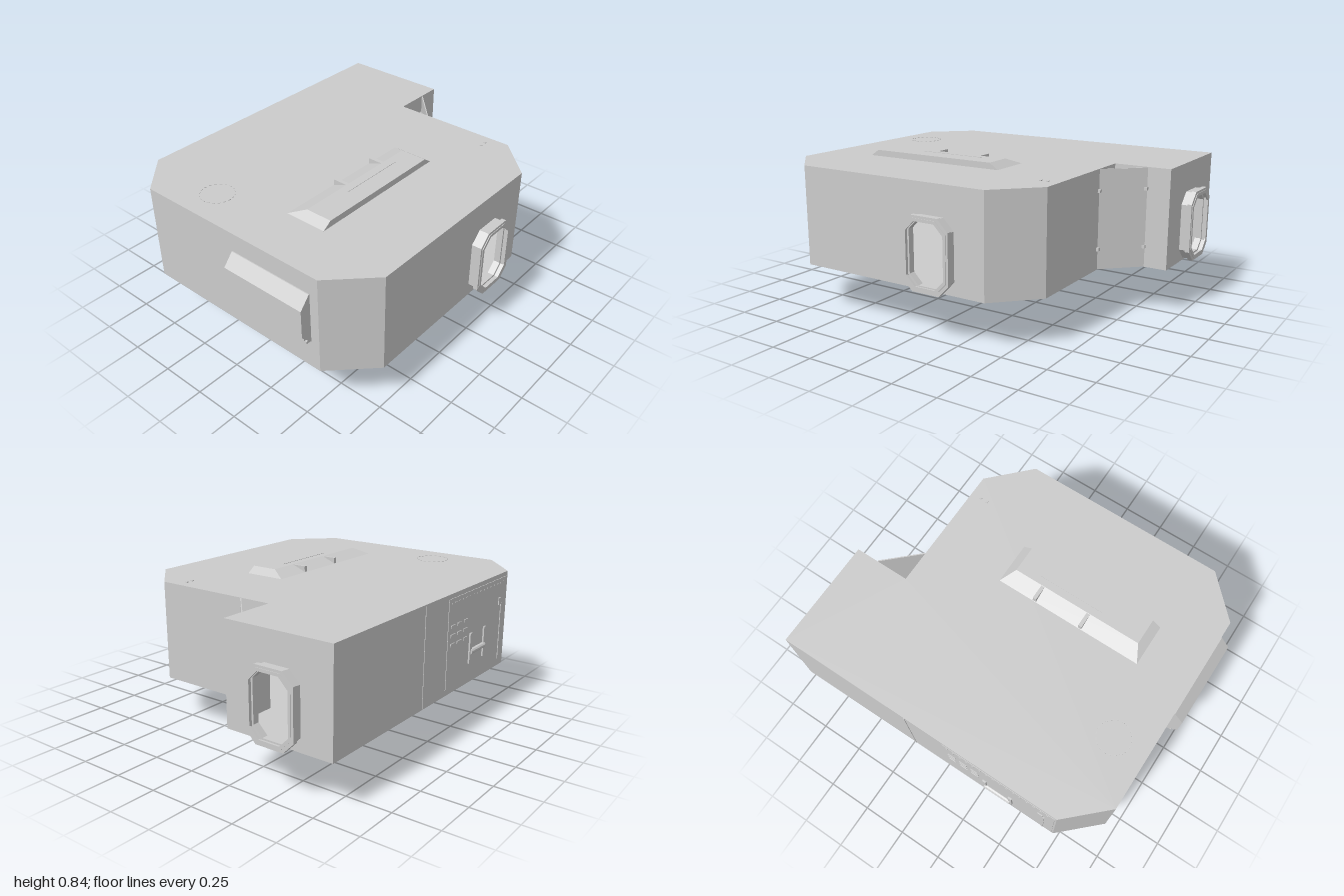
import * as THREE from 'three';

const mat = new THREE.MeshStandardMaterial({ color: 0xcccccc, flatShading: true, side: THREE.DoubleSide });
const Y0 = 0.26, Y1 = 0.805;

export function createModel() {
  const model = new THREE.Group();

  const add = (name, geo, x = 0, y = 0, z = 0, parent = model) => {
    const m = new THREE.Mesh(geo, mat);
    m.name = name;
    m.position.set(x, y, z);
    parent.add(m);
    return m;
  };
  const box = (name, w, h, d, x, y, z, parent) => add(name, new THREE.BoxGeometry(w, h, d), x, y, z, parent);
  const polygon = pts => new THREE.Shape(pts.map(p => new THREE.Vector2(p[0], p[1])));
  const extrude = (shape, depth) => new THREE.ExtrudeGeometry(shape, { depth, bevelEnabled: false });
  // Cylinder lying along z
  const rod = (name, r0, r1, len, x, y, z, parent, sides = 20) =>
    add(name, new THREE.CylinderGeometry(r0, r1, len, sides).rotateX(Math.PI / 2), x, y, z, parent);
  // Octagon with 45 degree corners
  const octagon = (cx, cy, hw, hh, c) => [
    [cx - hw + c, cy - hh], [cx + hw - c, cy - hh], [cx + hw, cy - hh + c], [cx + hw, cy + hh - c],
    [cx + hw - c, cy + hh], [cx - hw + c, cy + hh], [cx - hw, cy + hh - c], [cx - hw, cy - hh + c],
  ];

  // Hull outline as [x, z], starting with the front wall
  const plan = [
    [-0.73, 0.755], [0.41, 0.755], [0.62, 0.54], [0.62, -0.19], [0.935, -0.19],
    [0.935, -0.81], [-0.73, -0.81], [-0.94, -0.61], [-0.94, 0.54],
  ];
  const doorAt = { 0: 0.835, 4: 0.31 }; // wall index: distance of the doorway along it
  const doorY = 0.458;

  plan.forEach((a, i) => {
    const b = plan[(i + 1) % plan.length];
    const dx = b[0] - a[0], dz = b[1] - a[1], len = Math.hypot(dx, dz);
    const side = new THREE.Group();
    side.name = 'hullSide';
    side.position.set(a[0], 0, a[1]);
    side.rotation.y = Math.atan2(-dz, dx);
    model.add(side);
    const wall = polygon([[0, Y0], [len, Y0], [len, Y1], [0, Y1]]);
    if (i in doorAt) {
      const u = doorAt[i];
      wall.holes.push(polygon(octagon(u, doorY, 0.112, 0.17, 0.05)));
      // Doorway collar and wider outer lip
      const ring = (hw, hh, inset, depth, z, name) => {
        const s = polygon(octagon(u, doorY, hw, hh, 0.06));
        s.holes.push(polygon(octagon(u, doorY, hw - inset, hh - inset, 0.052)));
        add(name, extrude(s, depth), 0, 0, z, side);
      };
      ring(0.132, 0.186, 0.02, 0.035, 0, 'doorCollar');
      ring(0.14, 0.193, 0.018, 0.025, 0.035, 'doorLip');
      ring(0.128, 0.18, 0.016, 0.008, 0.055, 'doorSeal');
    }
    add('wall', new THREE.ShapeGeometry(wall), 0, 0, 0, side);
  });

  const slab = () => new THREE.ShapeGeometry(polygon(plan.map(p => [p[0], -p[1]]))).rotateX(-Math.PI / 2);
  add('roof', slab(), 0, Y1, 0);
  add('floor', slab(), 0, Y0, 0);

  // Furniture seen through the doorways
  box('counter', 0.36, 0.22, 0.3, -0.06, 0.37, -0.65);
  box('locker', 0.06, 0.36, 0.3, 0.15, 0.44, -0.65);

  // Diagonal panel across the inner corner, with hinges
  const panel = box('cornerPanel', Math.hypot(0.19, 0.18), Y1 - Y0 - 0.005, 0.006, 0.713, (Y0 + Y1) / 2, -0.097);
  panel.rotation.y = Math.atan2(0.18, 0.19);
  for (const y of [0.375, 0.69])
    for (const [x, z] of [[0.625, 0.003], [0.805, -0.182]]) box('hinge', 0.018, 0.018, 0.018, x, y, z);

  // Bay bulge on the right side, ribbed along its length
  const bay = polygon([[-0.93, 0.42], [-0.93, 0.7], [-0.945, 0.7], [-1, 0.635], [-1, 0.48], [-0.945, 0.42]]);
  add('sideBay', extrude(bay, 0.5), 0, 0, -0.01);
  for (const y of [0.43, 0.46]) box('bayRib', 0.03, 0.014, 0.5, -0.972 + (0.46 - y) * 0.5, y, 0.24);

  // Roof vent: steep front, flat top, ramp at the back
  const vent = new THREE.BoxGeometry(0.85, 0.035, 0.24);
  const p = vent.attributes.position;
  for (let i = 0; i < p.count; i++) {
    if (p.getY(i) < 0) continue;
    p.setX(i, p.getX(i) * 0.88);
    if (p.getZ(i) < 0) p.setZ(i, -0.03);
  }
  add('roofVent', vent, -0.225, Y1 + 0.0165, 0.195);
  box('ventSlot', 0.38, 0.006, 0.008, -0.165, 0.838, 0.21);
  const fin = polygon([[-0.08, Y1], [-0.165, 0.838], [-0.08, 0.838]]);
  for (const x of [-0.3, -0.02]) add('ventFin', extrude(fin, 0.02).rotateY(Math.PI / 2), x - 0.01, 0, 0);

  // Dashed hatch ring and small roof studs
  for (let i = 0; i < 20; i++) {
    const t = i / 20 * Math.PI * 2;
    const dash = box('roofHatchMark', 0.014, 0.004, 0.004, -0.75 + 0.09 * Math.sin(t), Y1 + 0.001, -0.315 + 0.09 * Math.cos(t));
    dash.rotation.y = t;
  }
  for (const x of [0.52, 0.56]) box('roofStud', 0.012, 0.006, 0.012, x, Y1 + 0.002, 0.43);

  // Rear service panel with grab handle, switches and strips
  const rear = new THREE.Group();
  rear.name = 'rearPanel';
  model.add(rear);
  box('panelPlate', 0.67, 0.49, 0.004, -0.385, 0.535, -0.811, rear);
  box('panelSeam', 0.006, 0.53, 0.004, 0.18, 0.53, -0.811, rear);
  for (const x of [-0.3, -0.46]) box('handlePost', 0.022, 0.17, 0.012, x, 0.46, -0.816, rear);
  rod('handleBar', 0.016, 0.016, 0.16, -0.38, 0.44, -0.816, rear, 10).rotation.y = Math.PI / 2;
  for (let i = 0; i < 9; i++)
    box('switch', 0.045, 0.016, 0.006, -0.1 - 0.07 * (i % 3), 0.63 - 0.05 * Math.floor(i / 3), -0.814, rear);
  for (let i = 0; i < 16; i++) box('rivet', 0.012, 0.006, 0.005, -0.08 - i * 0.04, 0.755, -0.813, rear);
  box('longStrip', 0.012, 0.33, 0.006, -0.66, 0.47, -0.814, rear);
  box('shortStrip', 0.03, 0.04, 0.008, -0.64, 0.65, -0.814, rear);

  // Small drain port underneath
  add('floorPort', new THREE.CylinderGeometry(0.03, 0.025, 0.012, 16), -0.555, Y0 - 0.004, -0.36);

  // Sensor head hung beneath the floor
  const head = new THREE.Group();
  head.name = 'sensorHead';
  head.position.set(-0.1, 0.09, 0);
  model.add(head);
  for (const x of [-0.037, 0.037]) box('hangerPlate', 0.008, 0.17, 0.105, x, 0.085, 0.147, head);
  for (const y of [0.05, 0.115]) box('hangerBrace', 0.07, 0.02, 0.08, 0, y, 0.147, head);
  box('barrelMount', 0.08, 0.045, 0.12, 0, 0, 0.145, head);
  rod('barrel', 0.022, 0.022, 0.27, 0, 0, 0.13, head);
  rod('dishHub', 0.035, 0.035, 0.03, 0, 0, 0.015, head);
  rod('dish', 0.085, 0.085, 0.012, 0, 0, -0.006, head, 32);
  add('dishRim', new THREE.TorusGeometry(0.075, 0.008, 8, 32), 0, 0, -0.008, head);
  add('armPivot', new THREE.CylinderGeometry(0.032, 0.032, 0.055, 20), 0, 0.002, 0.25, head);
  const arm = box('arm', 0.18, 0.036, 0.035, -0.085, 0, 0.272, head);
  arm.rotation.y = 0.26;
  box('armTip', 0.045, 0.04, 0.06, -0.185, 0.002, 0.305, head);
  rod('tipLens', 0.012, 0.016, 0.02, -0.185, 0, 0.34, head, 12);
  rod('probe', 0.003, 0.003, 0.03, -0.185, 0, 0.358, head, 8);
  return model;
}
